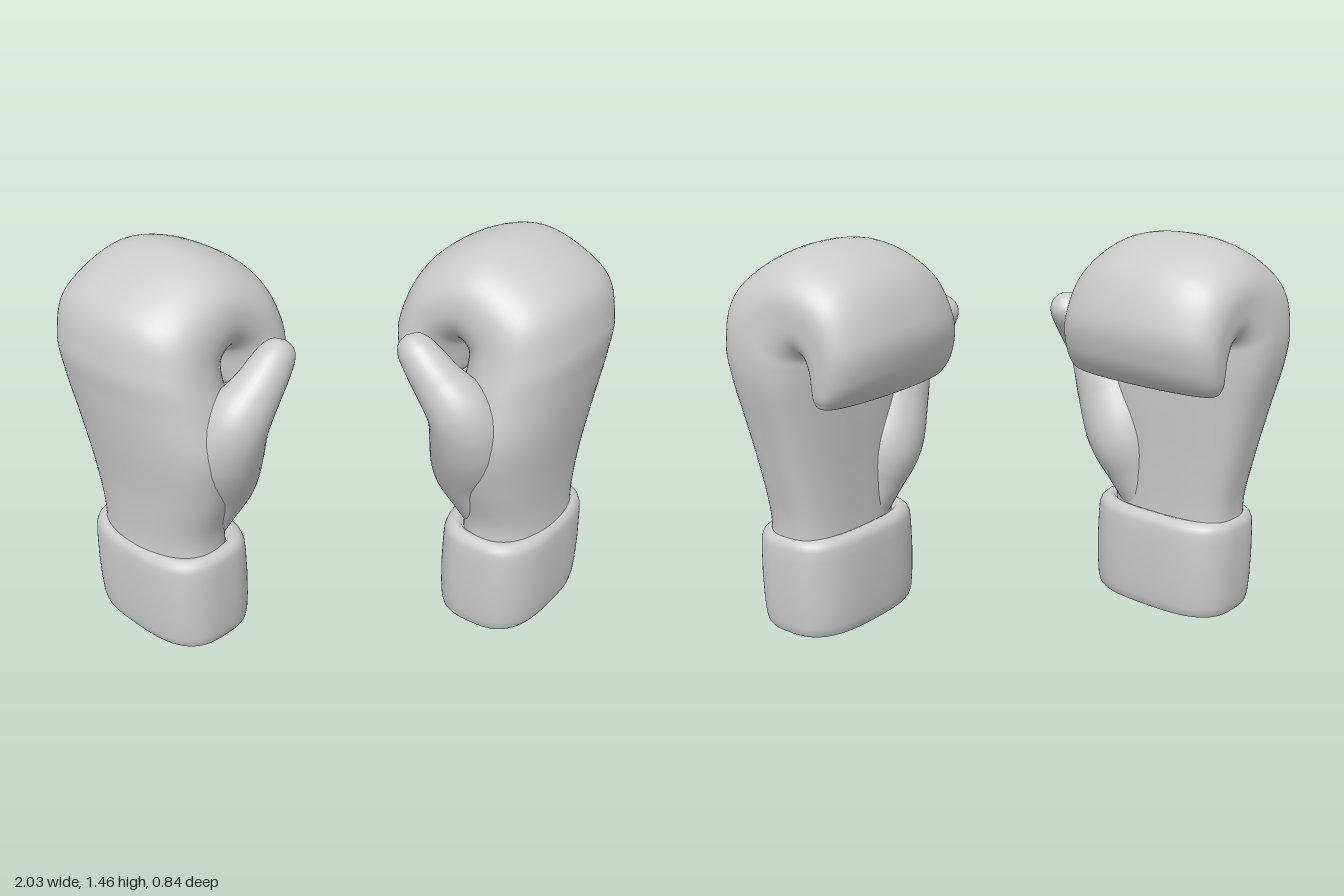
import * as THREE from 'three';

const material = new THREE.MeshStandardMaterial({ color: 0xcccccc, roughness: 0.7 });

// Glove axes: u runs across the hand (away from the thumb), y up, n out of the back of the hand
const ANGLE = THREE.MathUtils.degToRad(48);
const C = Math.cos(ANGLE), S = Math.sin(ANGLE);
const place = (side, [u, y, n]) => [side * (0.658 + C * u + S * n), y, 0.077 - S * u + C * n];

const power = (v, e) => Math.sign(v) * Math.pow(Math.abs(v), 2 / e);

// Smooth closed-ring surface from point(row, angle) -> [u, y, n]
function loft(name, side, rows, cols, point) {
  const pos = [], index = [];
  for (let i = 0; i <= rows; i++)
    for (let j = 0; j < cols; j++) pos.push(...place(side, point(i, (j / cols) * Math.PI * 2)));
  for (let i = 0; i < rows; i++)
    for (let j = 0; j < cols; j++) {
      const k = (j + 1) % cols;
      const a = i * cols + j, b = i * cols + k, c = a + cols, d = b + cols;
      index.push(a, b, d, a, d, c);
    }
  // Turn the faces outward whichever hand is being built
  const v = (i) => new THREE.Vector3(pos[3 * i] - pos[0], pos[3 * i + 1] - pos[1], pos[3 * i + 2] - pos[2]);
  let volume = 0;
  for (let i = 0; i < index.length; i += 3)
    volume += v(index[i]).dot(v(index[i + 1]).cross(v(index[i + 2])));
  if (volume < 0) index.reverse();
  const geometry = new THREE.BufferGeometry();
  geometry.setAttribute('position', new THREE.Float32BufferAttribute(pos, 3));
  geometry.setIndex(index);
  geometry.computeVertexNormals();
  const mesh = new THREE.Mesh(geometry, material);
  mesh.name = name;
  return mesh;
}

const spline = (rows, pick) =>
  new THREE.CatmullRomCurve3(rows.map((r) => new THREE.Vector3(...pick(r))), false, 'catmullrom', 0.5);

// Hand sections from wrist, over the knuckles, to the curled fingertips:
// outer n, outer y, inner n, inner y, lowest u, highest u
const HAND = [
  [0.18, 0.33, -0.15, 0.33, -0.26, 0.275],
  [0.175, 0.45, -0.15, 0.45, -0.265, 0.28],
  [0.185, 0.62, -0.155, 0.62, -0.32, 0.315],
  [0.21, 0.82, -0.165, 0.81, -0.36, 0.36],
  [0.23, 1.0, -0.17, 0.96, -0.33, 0.4],
  [0.235, 1.15, -0.17, 1.03, -0.3, 0.412],
  [0.165, 1.33, -0.17, 1.06, -0.28, 0.405],
  [-0.1, 1.455, -0.175, 1.07, -0.27, 0.385],
  [-0.34, 1.37, -0.18, 1.06, -0.28, 0.375],
  [-0.44, 1.19, -0.185, 1.03, -0.29, 0.37],
  [-0.43, 1.05, -0.19, 0.99, -0.29, 0.365],
  [-0.375, 0.955, -0.2, 0.95, -0.28, 0.35],
  [-0.32, 0.925, -0.225, 0.924, -0.23, 0.3],
  [-0.27, 0.915, -0.27, 0.915, 0.035, 0.035],
];

function hand(side) {
  const outer = spline(HAND, (r) => [r[0], r[1], r[4]]);
  const inner = spline(HAND, (r) => [r[2], r[3], r[5]]);
  const rows = 104;
  return loft('hand', side, rows, 64, (i, a) => {
    const o = outer.getPoint(i / rows), p = inner.getPoint(i / rows);
    // The edge of the palm opposite the thumb is squarer than the rest
    const e = Math.cos(a) > 0 && Math.sin(a) < 0 ? 3.4 : 2.25;
    const across = power(Math.cos(a), e), through = power(Math.sin(a), e);
    return [
      (o.z + p.z) / 2 + ((p.z - o.z) / 2) * across,
      (o.y + p.y) / 2 + ((o.y - p.y) / 2) * through,
      (o.x + p.x) / 2 + ((o.x - p.x) / 2) * through,
    ];
  });
}

// Thumb path: u, y, n, radius
const THUMB = [
  [-0.1, 0.36, -0.03, 0.09],
  [-0.15, 0.5, -0.06, 0.115],
  [-0.2, 0.64, -0.085, 0.14],
  [-0.275, 0.8, -0.05, 0.145],
  [-0.34, 0.93, -0.055, 0.122],
  [-0.367, 1.03, -0.13, 0.092],
  [-0.372, 1.1, -0.195, 0.077],
  [-0.372, 1.14, -0.237, 0.064],
  [-0.371, 1.166, -0.262, 0.041],
  [-0.37, 1.177, -0.272, 0],
];

function thumb(side) {
  const path = spline(THUMB, (r) => r.slice(0, 3));
  const radius = spline(THUMB, (r) => [r[3], 0, 0]);
  const rows = 60;
  return loft('thumb', side, rows, 36, (i, a) => {
    const t = i / rows;
    const tangent = path.getTangent(t);
    const b = new THREE.Vector3(1, 0, 0).addScaledVector(tangent, -tangent.x).normalize();
    const c = tangent.clone().cross(b);
    const r = Math.max(0, radius.getPoint(t).x);
    return path.getPoint(t).addScaledVector(b, r * Math.cos(a)).addScaledVector(c, r * Math.sin(a)).toArray();
  });
}

// Cuff profile: y, inset from the full outline (the doubled row keeps the bottom rim sharp)
const CUFF = [
  [0, 1], [0, 0.02], [0, 0.02], [0.012, 0.012], [0.04, 0.006], [0.1, 0.002], [0.2, 0],
  [0.3, 0.002], [0.345, 0.005], [0.365, 0.012], [0.377, 0.025], [0.382, 0.04], [0.38, 0.055], [0.35, 0.08],
];

function cuff(side) {
  return loft('cuff', side, CUFF.length - 1, 72, (i, a) => {
    const [y, inset] = CUFF[i];
    return [
      Math.max(0, 0.307 - inset) * power(Math.cos(a), 2.9),
      y,
      Math.max(0, 0.208 - inset) * power(Math.sin(a), 2.9),
    ];
  });
}

export function createModel() {
  const model = new THREE.Group();
  model.name = 'boxingGloves';
  for (const [name, side] of [['leftGlove', 1], ['rightGlove', -1]]) {
    const glove = new THREE.Group();
    glove.name = name;
    glove.add(cuff(side), hand(side), thumb(side));
    model.add(glove);
  }
  return model;
}
